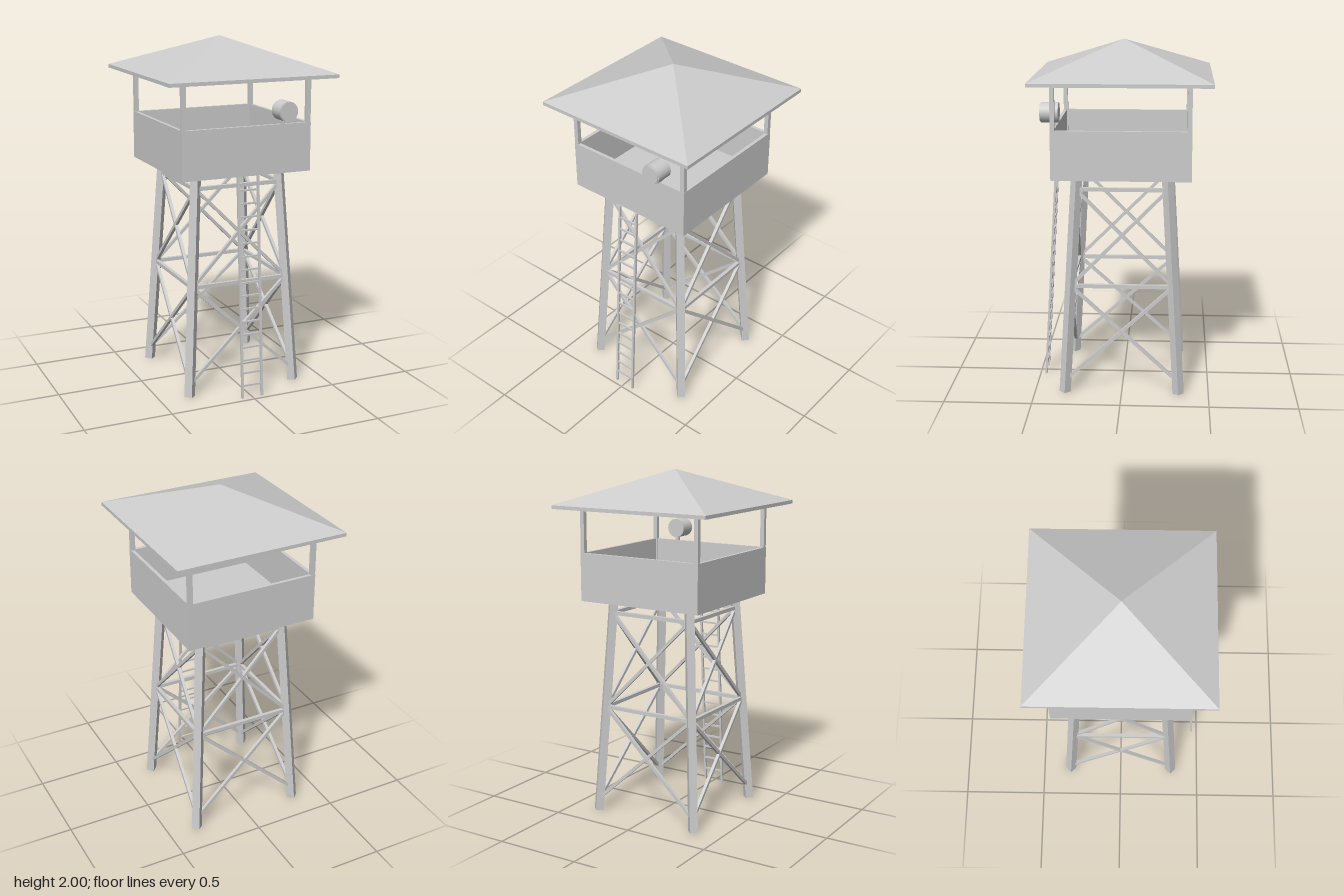
import * as THREE from 'three';

export function createModel() {
  const tower = new THREE.Group();
  tower.name = 'watchtower';
  const flat = new THREE.MeshStandardMaterial({ color: 0xcccccc });
  flat.name = 'light grey';

  function add(name, geometry, x = 0, y = 0, z = 0, parent = tower) {
    const mesh = new THREE.Mesh(geometry, flat);
    mesh.name = name;
    mesh.position.set(x, y, z);
    parent.add(mesh);
    return mesh;
  }
  const box = (name, w, h, d, x, y, z, parent) =>
    add(name, new THREE.BoxGeometry(w, h, d), x, y, z, parent);

  // Square bar running between two points
  function beam(name, a, b, size, parent) {
    const mid = a.clone().add(b).multiplyScalar(0.5);
    const bar = box(name, size, size, a.distanceTo(b), mid.x, mid.y, mid.z, parent);
    bar.lookAt(b);
    return bar;
  }

  // Splayed legs
  const deckY = 1.265;
  const spread = (y) => 0.327 - 0.0583 * y;
  const legPoint = (sx, sz, y) => new THREE.Vector3(sx * spread(y), y, sz * spread(y));
  const corners = [[1, 1], [1, -1], [-1, -1], [-1, 1]];
  for (const [sx, sz] of corners) {
    beam('leg', legPoint(sx, sz, 0.004), legPoint(sx, sz, deckY + 0.01), 0.046);
  }

  // Horizontal struts and crossed braces on all four sides
  const levels = [0.075, 0.635, 1.19];
  corners.forEach((a, i) => {
    const b = corners[(i + 1) % 4];
    const side = new THREE.Group();
    side.name = 'sideBracing';
    tower.add(side);
    for (let k = 0; k < 2; k++) {
      const low = levels[k], high = levels[k + 1];
      beam('strut', legPoint(...a, high), legPoint(...b, high), 0.021, side);
      beam('crossBrace', legPoint(...a, low), legPoint(...b, high), 0.018, side);
      beam('crossBrace', legPoint(...b, low), legPoint(...a, high), 0.018, side);
    }
  });

  // Cabin: floor, four parapet walls and corner posts
  const half = 0.385, wall = 0.02, wallTop = 1.54, eaveY = 1.79;
  const wallH = wallTop - deckY, wallY = (wallTop + deckY) / 2;
  box('floor', 2 * half - wall, 0.03, 2 * half - wall, 0, deckY + 0.015, 0);
  for (const s of [1, -1]) {
    box('parapet', 2 * half, wallH, wall, 0, wallY, s * (half - wall / 2));
    box('parapet', wall, wallH, 2 * half - 2 * wall, s * (half - wall / 2), wallY, 0);
  }
  const post = 0.025;
  for (const [sx, sz] of corners) {
    const p = half - post / 2 - 0.001;
    box('cornerPost', post, eaveY - deckY - 0.01, post, sx * p, (eaveY + deckY) / 2 + 0.01, sz * p);
  }

  // Pyramid roof on a thin eave slab
  const eave = 0.496;
  box('eave', 2 * eave, 0.02, 2 * eave, 0, eaveY + 0.01, 0);
  const pyramid = new THREE.ConeGeometry(eave * Math.SQRT2, 0.19, 4, 1, true)
    .rotateY(Math.PI / 4).toNonIndexed();
  pyramid.computeVertexNormals();
  add('roof', pyramid, 0, 1.905, 0);

  // Ladder leaning on the front of the cabin
  const ladder = new THREE.Group();
  ladder.name = 'ladder';
  tower.add(ladder);
  const ladderPoint = (x, t) => new THREE.Vector3(x, t * deckY, 0.467 - 0.078 * t);
  for (const x of [-0.06, 0.06]) {
    beam('ladderRail', ladderPoint(x, 0.001), ladderPoint(x, 1), 0.013, ladder);
  }
  for (let i = 1; i < 17; i++) {
    beam('rung', ladderPoint(-0.06, i / 17), ladderPoint(0.06, i / 17), 0.01, ladder);
  }

  // Searchlight on the front parapet
  const lamp = new THREE.Group();
  lamp.name = 'searchlight';
  lamp.position.set(0.215, 1.615, 0.4);
  tower.add(lamp);
  const drum = (r, d) => new THREE.CylinderGeometry(r, r, d, 24).rotateX(Math.PI / 2);
  add('lampBody', drum(0.056, 0.097), 0, 0, 0, lamp);
  add('lens', drum(0.052, 0.006), 0, 0, 0.051, lamp);
  box('lampStand', 0.02, 0.05, 0.02, 0, -0.06, -0.025, lamp);

  return tower;
}
